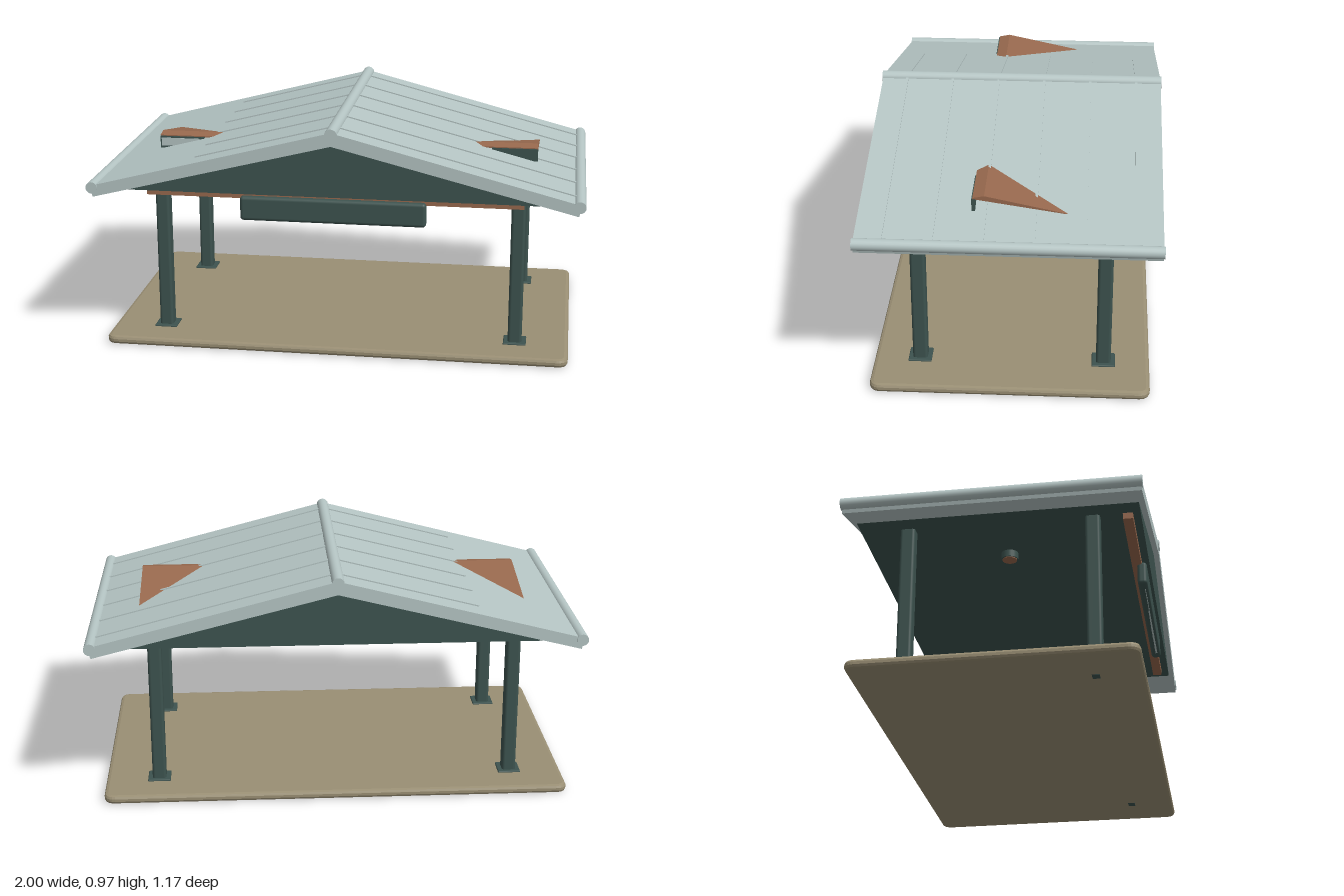
import * as THREE from 'three';
import { RoundedBoxGeometry } from 'three/addons/geometries/RoundedBoxGeometry.js';

const flat = (color) => new THREE.MeshStandardMaterial({ color });

export function createModel() {
  const group = new THREE.Group();
  const roofMetal = flat(0xb5c5c4); roofMetal.name = 'paleRoofMetal';
  const green = flat(0x3d534f); green.name = 'darkGreen';
  const stone = flat(0x9a8f74); stone.name = 'tanStone';
  const copper = flat(0x98694e); copper.name = 'copper';

  const add = (name, geo, mat, x = 0, y = 0, z = 0) => {
    const mesh = new THREE.Mesh(geo, mat);
    mesh.name = name;
    mesh.position.set(x, y, z);
    group.add(mesh);
    return mesh;
  };
  // Extrudes a polygon, centred along its depth
  const prism = (points, depth) => {
    const shape = new THREE.Shape(points.map(([x, y]) => new THREE.Vector2(x, y)));
    return new THREE.ExtrudeGeometry(shape, { depth, bevelEnabled: false }).translate(0, 0, -depth / 2);
  };

  // Base slab with rounded corners and a bevelled rim
  const w = 0.94, d = 0.54, r = 0.03;
  const slab = new THREE.Shape();
  slab.moveTo(-w + r, -d);
  slab.lineTo(w - r, -d);
  slab.quadraticCurveTo(w, -d, w, -d + r);
  slab.lineTo(w, d - r);
  slab.quadraticCurveTo(w, d, w - r, d);
  slab.lineTo(-w + r, d);
  slab.quadraticCurveTo(-w, d, -w, d - r);
  slab.lineTo(-w, -d + r);
  slab.quadraticCurveTo(-w, -d, -w + r, -d);
  const slabGeo = new THREE.ExtrudeGeometry(slab, {
    depth: 0.011, bevelThickness: 0.012, bevelSize: 0.015, bevelSegments: 2, curveSegments: 6,
  });
  slabGeo.rotateX(-Math.PI / 2).translate(0, 0.012, 0);
  add('baseSlab', slabGeo, stone);

  // Posts and foot plates
  for (const x of [-0.735, 0.735]) {
    for (const z of [-0.37, 0.37]) {
      add('post', new RoundedBoxGeometry(0.057, 0.66, 0.06, 2, 0.012), green, x, 0.36, z);
      add('footPlate', new RoundedBoxGeometry(0.094, 0.012, 0.094, 1, 0.004), green, x, 0.035, z);
    }
    // Small plates under the front posts
    add('anchorPlate', new THREE.BoxGeometry(0.04, 0.002, 0.03), green, x, 0, 0.37);
  }

  // Gabled roof shell and the closed gable body below it
  add('roof', prism([[0, 0.95], [-0.985, 0.695], [-0.973, 0.65], [0, 0.895], [0.973, 0.65], [0.985, 0.695]], 1.165), roofMetal);
  add('gableBody', prism([[-0.835, 0.68], [0.835, 0.68], [0, 0.897]], 1.12), green);

  // Ridge and eave pipes
  const pipe = (name, radius, x, y) =>
    add(name, new THREE.CylinderGeometry(radius, radius, 1.172, 20).rotateX(Math.PI / 2), roofMetal, x, y);
  pipe('ridgePipe', 0.025, 0, 0.941);
  for (const s of [-1, 1]) pipe('eavePipe', 0.024, s * 0.976, 0.688);

  // Standing seams, shorter on the right slope
  const slope = Math.atan2(0.255, 0.985);
  for (const [side, end] of [[1, 0.965], [-1, 0.57]]) {
    for (let i = 0; i < 6; i++) {
      const mid = (0.02 + end) / 2;
      const seam = add('roofSeam', new THREE.BoxGeometry((end - 0.02) / Math.cos(slope), 0.01, 0.01),
        roofMetal, side * mid, 0.95 - mid * Math.tan(slope), -0.48 + i * 0.192);
      seam.rotation.z = -side * slope;
    }
  }

  // Tilted copper wedge that breaks through both roof slopes
  const wedge = prism([[0.145, 0.797], [0.145, 0.802], [0.1, 0.811], [-0.25, 0.737]], 1.6);
  add('copperWedge', wedge.rotateY(-Math.PI / 2), copper);
  for (const s of [-1, 1]) add('wedgeLip', new THREE.BoxGeometry(0.19, 0.052, 0.014), green, s * 0.705, 0.772, 0.142);
  add('lipFace', new THREE.BoxGeometry(0.165, 0.034, 0.003), roofMetal, -0.712, 0.774, 0.15);

  // Front beam, hanging board and ceiling lights
  add('frontBeam', new THREE.BoxGeometry(1.52, 0.028, 0.04), copper, 0, 0.668, 0.51);
  add('hangingBoard', new RoundedBoxGeometry(0.75, 0.1, 0.04, 3, 0.014), green, 0, 0.616, 0.531);
  add('boardTrim', new THREE.BoxGeometry(0.64, 0.006, 0.008), roofMetal, 0, 0.569, 0.536);
  for (const s of [-1, 1]) {
    add('lightHousing', new THREE.CylinderGeometry(0.035, 0.035, 0.03, 20), green, s * 0.5, 0.666, 0);
    add('lightDisc', new THREE.CylinderGeometry(0.03, 0.03, 0.004, 20), copper, s * 0.5, 0.65, 0);
  }
  return group;
}
